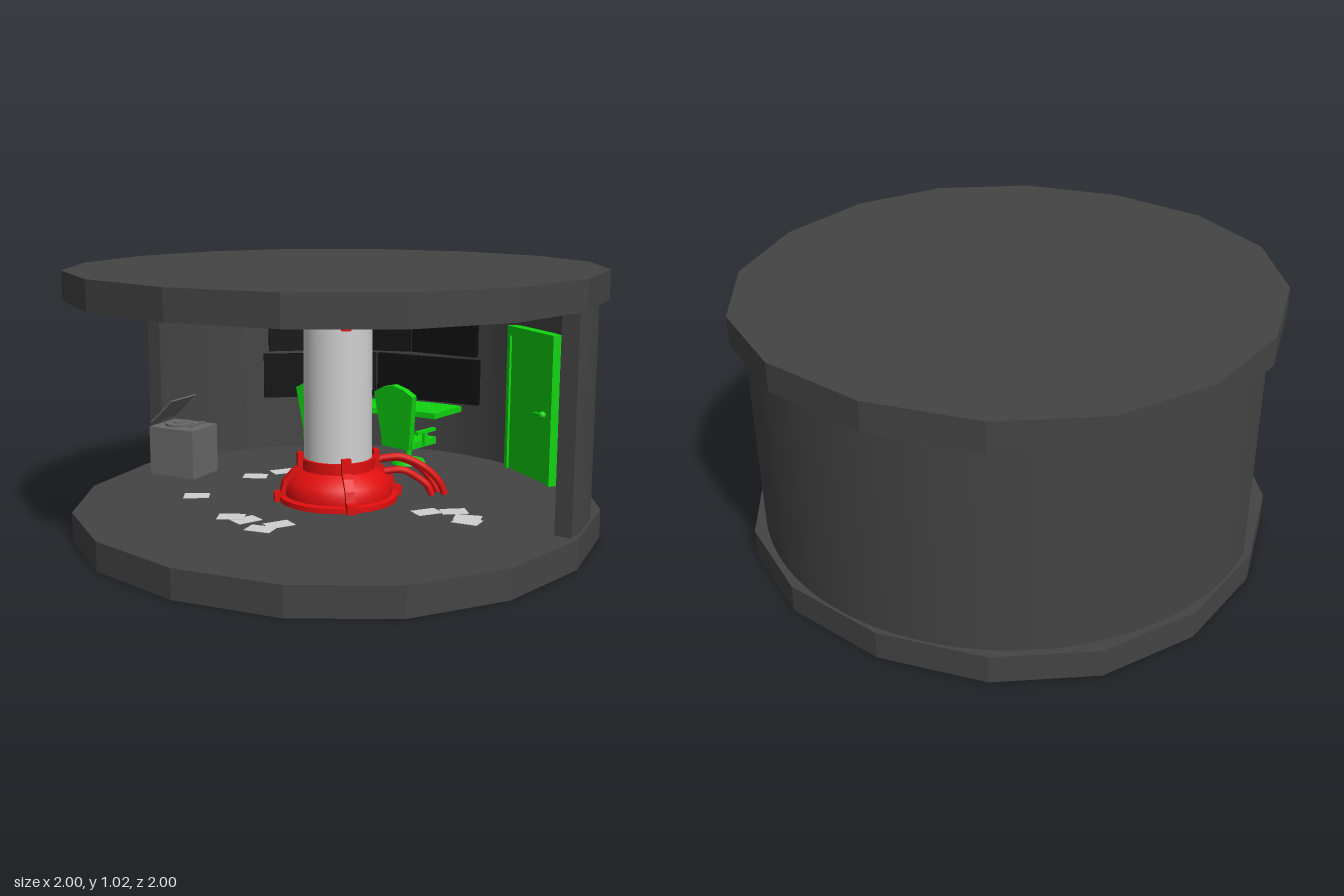
import * as THREE from 'three';
import { toCreasedNormals } from 'three/addons/utils/BufferGeometryUtils.js';

const paint = (name, color, side = THREE.FrontSide) => {
  const m = new THREE.MeshStandardMaterial({ color, side });
  m.name = name;
  return m;
};

export function createModel() {
  const model = new THREE.Group();
  model.name = 'controlRoom';
  const darkGrey = paint('darkGrey', 0x444444);
  const red = paint('red', 0xe00e0e, THREE.DoubleSide);
  const green = paint('green', 0x10d410);
  const lightGrey = paint('lightGrey', 0xd0d0d0);
  const black = paint('black', 0x101010);
  const midGrey = paint('midGrey', 0x686868);

  const add = (name, geo, mat, x = 0, y = 0, z = 0, parent = model) => {
    const mesh = new THREE.Mesh(geo, mat);
    mesh.name = name;
    mesh.position.set(x, y, z);
    parent.add(mesh);
    return mesh;
  };
  const group = (name, x, y, z, turn = 0, parent = model) => {
    const g = new THREE.Group();
    g.name = name;
    g.position.set(x, y, z);
    g.rotation.y = turn;
    parent.add(g);
    return g;
  };
  const box = (w, h, d) => new THREE.BoxGeometry(w, h, d);
  const cyl = (r1, r2, h, n = 24) => new THREE.CylinderGeometry(r1, r2, h, n);
  // Extrudes a plan shape upward; plan y points to the back
  const slab = (shape, height, curveSegments = 48) => {
    const g = new THREE.ExtrudeGeometry(shape, { depth: height, bevelEnabled: false, curveSegments });
    return g.rotateX(-Math.PI / 2);
  };
  const sector = (inner, outer, from, to, height) => {
    const s = new THREE.Shape();
    s.absarc(0, 0, outer, from, to, false);
    s.absarc(0, 0, inner, to, from, true);
    return toCreasedNormals(slab(s, height), 0.5);
  };
  const lathe = (pts) => toCreasedNormals(
    new THREE.LatheGeometry(pts.map(([r, y]) => new THREE.Vector2(r, y)), 40), 0.5);

  // Sixteen-sided floor and roof
  const quarter = [[1, 0], [0.93, 0.4], [0.725, 0.725], [0.4, 0.93]];
  const outline = [];
  for (let k = 0; k < 4; k++) {
    for (const [a, b] of quarter) {
      outline.push(new THREE.Vector2(a, b).rotateAround(new THREE.Vector2(), k * Math.PI / 2));
    }
  }
  add('floor', slab(new THREE.Shape(outline), 0.11), darkGrey);
  add('roof', slab(new THREE.Shape(outline), 0.11), darkGrey, 0, 0.91);

  // Half-round wall, open at the front
  add('wall', sector(0.91, 0.975, 0, Math.PI, 0.8), darkGrey, 0, 0.11);

  // Central column with its red base and crown
  add('column', cyl(0.133, 0.133, 0.8, 40), lightGrey, 0, 0.51);
  add('columnBase', lathe([[0.235, 0.11], [0.235, 0.13], [0.212, 0.134], [0.212, 0.16],
    [0.2, 0.19], [0.175, 0.215], [0.155, 0.228], [0.145, 0.235], [0.145, 0.278], [0.13, 0.278]]), red);
  add('columnCrown', lathe([[0.13, 0.8], [0.145, 0.8], [0.145, 0.83], [0.16, 0.832], [0.185, 0.845],
    [0.195, 0.85], [0.2, 0.86], [0.22, 0.867], [0.226, 0.878], [0.245, 0.885], [0.25, 0.895],
    [0.265, 0.9], [0.265, 0.91]]), red);

  // Four ribs on the base and matching clamps on the crown
  const ribShape = new THREE.Shape([[0.14, 0.11], [0.255, 0.11], [0.255, 0.145], [0.23, 0.15], [0.22, 0.19],
    [0.185, 0.23], [0.162, 0.245], [0.162, 0.3], [0.14, 0.3]].map(([x, y]) => new THREE.Vector2(x, y)));
  const ribGeo = new THREE.ExtrudeGeometry(ribShape, { depth: 0.036, bevelEnabled: false }).translate(0, 0, -0.018);
  for (let i = 0; i < 4; i++) {
    const g = group('clampSet', 0, 0, 0, Math.PI / 4 + i * Math.PI / 2);
    add('baseRib', ribGeo, red, 0, 0, 0, g);
    add('crownClamp', box(0.025, 0.045, 0.036), red, 0.148, 0.813, 0, g);
  }

  // Hoses from the base to the floor
  const hoses = [
    [[0.12, 0.26, -0.12], [0.19, 0.265, -0.17], [0.27, 0.22, -0.22], [0.315, 0.16, -0.255], [0.33, 0.11, -0.27]],
    [[0.14, 0.21, -0.12], [0.2, 0.215, -0.16], [0.25, 0.18, -0.2], [0.28, 0.15, -0.22], [0.295, 0.11, -0.23]],
    [[0.1, 0.25, -0.14], [0.17, 0.25, -0.2], [0.23, 0.21, -0.25], [0.27, 0.15, -0.28], [0.29, 0.11, -0.29]],
  ];
  for (const pts of hoses) {
    const curve = new THREE.CatmullRomCurve3(pts.map((p) => new THREE.Vector3(...p)));
    add('hose', new THREE.TubeGeometry(curve, 20, 0.014, 10), red);
  }

  // Frame standing on a wall chord between two x values, facing the room
  const onWall = (name, x1, x2, y, r = 0.885) => {
    const z1 = -Math.sqrt(r * r - x1 * x1), z2 = -Math.sqrt(r * r - x2 * x2);
    const g = group(name, (x1 + x2) / 2, y, (z1 + z2) / 2, Math.atan2(z1 - z2, x2 - x1));
    return [g, Math.hypot(x2 - x1, z2 - z1)];
  };

  // Two rows of monitors
  const monitors = [[-0.715, -0.475, 0.64, 0.145], [-0.465, -0.17, 0.64, 0.145], [-0.16, 0.165, 0.64, 0.145],
    [-0.73, -0.325, 0.455, 0.2], [-0.315, 0.18, 0.455, 0.2]];
  for (const [x1, x2, y, h] of monitors) {
    const [g, w] = onWall('monitor', x1, x2, y);
    add('monitorCase', box(w, h, 0.025), black, 0, 0, 0, g);
    add('monitorScreen', box(w - 0.02, h - 0.02, 0.004), black, 0, 0, 0.014, g);
  }

  // Curved desk along the wall
  add('desk', sector(0.68, 0.9, 1.48, 2.35, 0.025), green, 0, 0.31);

  // Door with raised panel, frame and handle
  const [door, doorWidth] = onWall('door', 0.355, 0.65, 0.11, 0.895);
  add('doorPanel', box(doorWidth - 0.04, 0.58, 0.03), green, 0, 0.29, 0, door);
  for (const s of [-1, 1]) {
    add('doorPost', box(0.022, 0.62, 0.05), green, s * (doorWidth / 2 - 0.011), 0.31, 0, door);
  }
  add('doorLintel', box(doorWidth, 0.04, 0.05), green, 0, 0.6, 0, door);
  add('doorKnob', new THREE.SphereGeometry(0.016, 16, 10), green, 0.13, 0.29, 0.035, door);
  add('doorHandle', box(0.05, 0.012, 0.012), green, 0.11, 0.29, 0.045, door);

  // Swivel chairs facing the monitors
  const backShape = new THREE.Shape([[-0.07, 0], [0.075, 0], [0.105, 0.24], [0.06, 0.265], [0, 0.28],
    [-0.06, 0.265], [-0.105, 0.24]].map(([x, y]) => new THREE.Vector2(x, y)));
  const backGeo = new THREE.ExtrudeGeometry(backShape, { depth: 0.03, bevelEnabled: false });
  for (const [x, z, turn] of [[-0.42, -0.57, 0.1], [-0.045, -0.64, -0.15]]) {
    const chair = group('chair', x, 0.11, z, turn);
    add('chairFoot', cyl(0.068, 0.075, 0.014), green, 0, 0.007, 0, chair);
    add('chairStem', cyl(0.014, 0.014, 0.08, 12), green, 0, 0.05, 0, chair);
    add('chairSeat', box(0.17, 0.03, 0.17), green, 0, 0.1, 0, chair);
    const back = add('chairBack', backGeo, green, 0, 0.085, 0.065, chair);
    back.rotation.x = 0.08;
    for (const s of [-1, 1]) {
      add('armPost', box(0.015, 0.06, 0.02), green, s * 0.088, 0.12, 0, chair);
      add('armRest', box(0.02, 0.014, 0.13), green, s * 0.09, 0.155, 0, chair);
    }
  }

  // Record cabinet with turntable and open lid
  const cabinet = group('recordCabinet', -0.768, 0.11, 0.025, 0.08);
  add('cabinetBody', box(0.22, 0.205, 0.18), midGrey, 0, 0.1025, 0, cabinet);
  add('platter', cyl(0.06, 0.06, 0.01, 32), midGrey, -0.02, 0.21, 0, cabinet);
  add('spindleDisc', cyl(0.025, 0.025, 0.006), midGrey, -0.02, 0.217, 0, cabinet);
  add('toneArm', box(0.012, 0.01, 0.1), midGrey, 0.07, 0.215, 0, cabinet);
  const lid = add('cabinetLid', box(0.15, 0.006, 0.17), midGrey, -0.05, 0.272, 0, cabinet);
  lid.rotation.z = 0.74;

  // Ceiling lights, each with three tubes
  for (const x of [-0.51, 0.51]) {
    for (const z of [-0.46, 0.46]) {
      const light = group('ceilingLight', x, 0.905, z);
      add('lightPlate', box(0.24, 0.012, 0.1), green, 0, 0, 0, light);
      for (const k of [-1, 0, 1]) {
        add('lightTube', cyl(0.012, 0.012, 0.235, 10).rotateZ(Math.PI / 2), green, 0, 0, k * 0.033, light);
      }
    }
  }

  // Loose sheets of paper on the floor
  const sheets = [[-0.467, -0.08, 0.5], [-0.413, -0.205, 1], [-0.474, 0.296, 0.6], [-0.18, 0.45, 0.5],
    [-0.115, 0.445, 1.2], [0.022, 0.427, 1.1], [0, 0.51, 0.2], [0.398, 0.002, 1], [0.477, -0.069, 0.7],
    [0.56, -0.02, 0.3], [0.58, 0.025, 0.1]];
  sheets.forEach(([x, z, turn], i) => {
    const sheet = add('paper', box(0.1, 0.002, 0.07), lightGrey, x, 0.1115 + (i % 4) * 0.001, z);
    sheet.rotation.y = turn;
  });

  return model;
}
